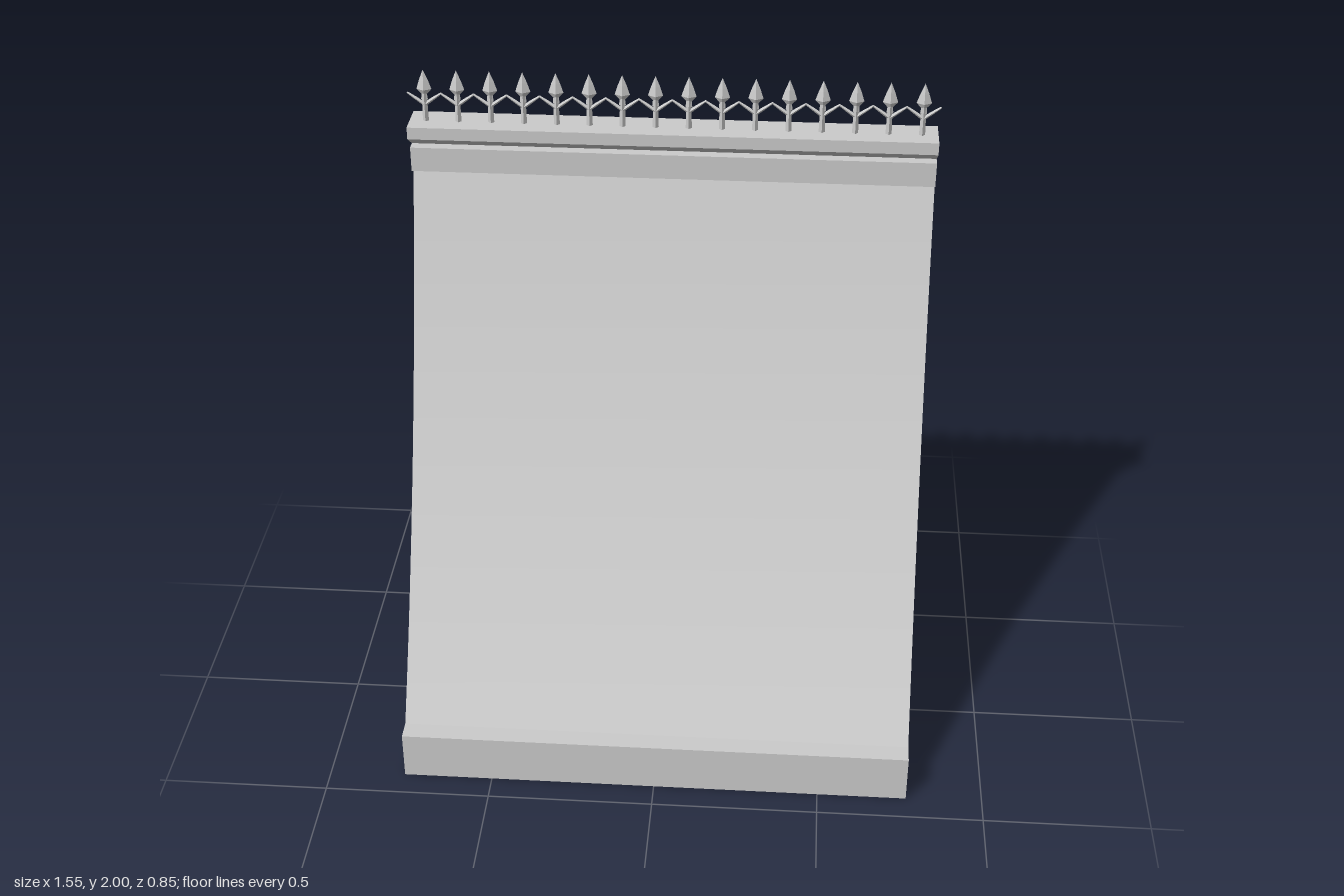
import * as THREE from 'three';

const WIDTH = 1.54;
const mat = new THREE.MeshStandardMaterial({ color: 0xcccccc, side: THREE.DoubleSide });

// Open sheet swept across x from a [z, y] profile listed from bottom to top
function sheet(name, profile, smooth) {
  let geo = new THREE.PlaneGeometry(WIDTH, 1, 1, profile.length - 1);
  const pos = geo.attributes.position;
  for (let i = 0; i < pos.count; i++) {
    const [z, y] = profile[profile.length - 1 - Math.floor(i / 2)];
    pos.setY(i, y);
    pos.setZ(i, z);
  }
  if (!smooth) geo = geo.toNonIndexed();
  geo.computeVertexNormals();
  const mesh = new THREE.Mesh(geo, mat);
  mesh.name = name;
  return mesh;
}

const flat = mat.clone();
flat.flatShading = true;

function part(name, geo, parent) {
  const mesh = new THREE.Mesh(geo, flat);
  mesh.name = name;
  parent.add(mesh);
  return mesh;
}

// Thin square bar between two points in the xy plane
function bar(name, a, b, r0, r1, parent) {
  const from = new THREE.Vector3(a[0], a[1], 0);
  const dir = new THREE.Vector3(b[0], b[1], 0).sub(from);
  const mesh = part(name, new THREE.CylinderGeometry(r1, r0, dir.length(), 4), parent);
  mesh.position.copy(from).addScaledVector(dir, 0.5);
  mesh.quaternion.setFromUnitVectors(new THREE.Vector3(0, 1, 0), dir.normalize());
}

// One spear of the cresting, standing on its own origin
function createSpear() {
  const spear = new THREE.Group();
  spear.name = 'crestingSpear';
  bar('spearPost', [0, 0], [0, 0.1], 0.009, 0.007, spear);
  // Diamond head, flatter front to back
  const profile = [[0, 0.06], [0.01, 0.068], [0.008, 0.085], [0.022, 0.1], [0.013, 0.128], [0, 0.16]]
    .map(([r, y]) => new THREE.Vector2(r, y));
  const head = part('spearHead', new THREE.LatheGeometry(profile, 4), spear);
  head.scale.z = 0.6;
  // Mirrored side branches
  for (const s of [-1, 1]) {
    bar('branchInner', [0, 0.052], [s * 0.026, 0.071], 0.006, 0.005, spear);
    bar('branchOuter', [s * 0.026, 0.071], [s * 0.05, 0.088], 0.005, 0.003, spear);
  }
  return spear;
}

export function createModel() {
  const model = new THREE.Group();
  model.name = 'mansardRoofSection';

  // Bottom trim: shelf, fascia and ledge
  model.add(sheet('eavesTrim', [[0.21, 0], [0.42, 0], [0.42, 0.153], [0.36, 0.153]]));

  // Gently concave roof slope
  const curve = new THREE.QuadraticBezierCurve(
    new THREE.Vector2(0.36, 0.153), new THREE.Vector2(-0.11, 0.87), new THREE.Vector2(-0.365, 1.69));
  model.add(sheet('roofSlope', curve.getPoints(12).map((p) => [p.x, p.y]), true));

  // Top trim: stepped band, sloped soffit, cap and back plate
  model.add(sheet('ridgeTrim', [
    [-0.365, 1.69], [-0.335, 1.69], [-0.335, 1.765], [-0.367, 1.765],
    [-0.305, 1.805], [-0.305, 1.842], [-0.425, 1.842], [-0.425, 1.69],
  ]));

  // Row of spears along the ridge
  const cresting = new THREE.Group();
  cresting.name = 'ridgeCresting';
  const count = 16;
  for (let i = 0; i < count; i++) {
    const spear = createSpear();
    spear.position.set((i - (count - 1) / 2) * 0.0963, 1.84, -0.362);
    cresting.add(spear);
  }
  model.add(cresting);
  return model;
}
